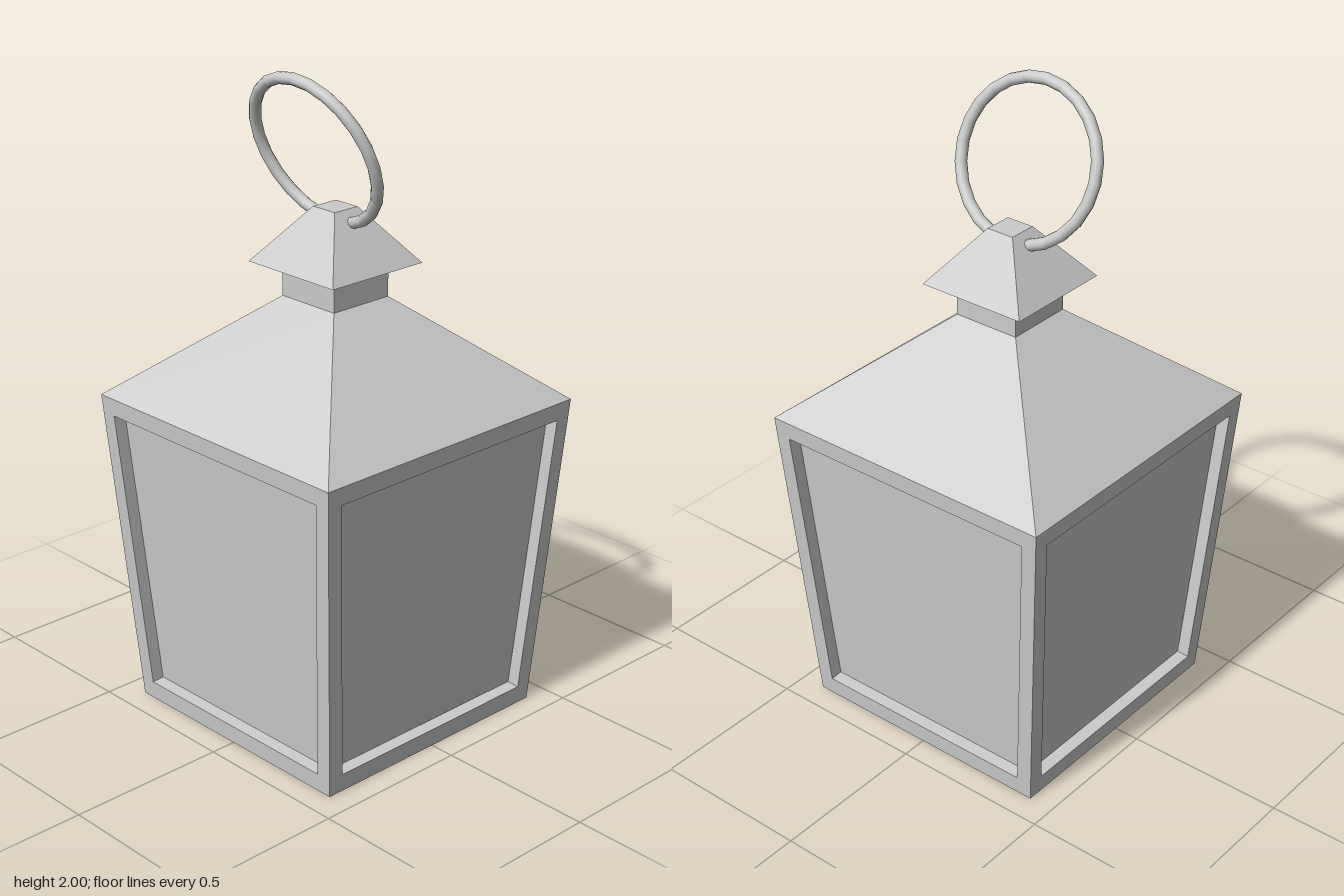
import * as THREE from 'three';

const flat = new THREE.MeshStandardMaterial({ color: 0xcccccc, flatShading: true });
const smooth = new THREE.MeshStandardMaterial({ color: 0xcccccc });

const BASE = 0.42, TOP = 0.49, HEIGHT = 1;   // half widths and height of the body
const DEPTH = 0.04;                          // how far the panes are set back

// Square tapered block, given by half widths and the heights of its ends
function frustum(name, bottom, top, y0, y1) {
  const g = new THREE.CylinderGeometry(top * Math.SQRT2, bottom * Math.SQRT2, y1 - y0, 4);
  g.rotateY(Math.PI / 4).translate(0, (y0 + y1) / 2, 0);
  const mesh = new THREE.Mesh(g, flat);
  mesh.name = name;
  return mesh;
}

// Four corners on the leaning front face, set back along its normal
function faceLoop(b, t, y0, y1, inset) {
  const slope = (TOP - BASE) / HEIGHT, tilt = Math.atan(slope);
  return [[-b, y0], [b, y0], [t, y1], [-t, y1]].map(([x, y]) =>
    [x, y + inset * Math.sin(tilt), BASE + slope * y - inset * Math.cos(tilt)]);
}

function quads(name, list) {
  const points = list.flatMap(([a, b, c, d]) => [a, b, c, a, c, d]).flat();
  const g = new THREE.BufferGeometry();
  g.setAttribute('position', new THREE.Float32BufferAttribute(points, 3));
  g.computeVertexNormals();
  const mesh = new THREE.Mesh(g, flat);
  mesh.name = name;
  return mesh;
}

// Quads joining one loop of corners to the next
const bridge = (a, b) => a.map((p, i) => [p, a[(i + 1) % 4], b[(i + 1) % 4], b[i]]);

export function createModel() {
  const lantern = new THREE.Group();
  lantern.name = 'lantern';

  // Four framed sides with recessed panes
  const outer = faceLoop(BASE, TOP, 0, HEIGHT, 0);
  const inner = faceLoop(0.373, 0.437, 0.057, 0.945, 0);
  const back = faceLoop(0.373, 0.437, 0.057, 0.945, DEPTH);
  ['front', 'left', 'back', 'right'].forEach((side, i) => {
    const wall = new THREE.Group();
    wall.name = side + 'Side';
    wall.add(quads('frame', [...bridge(outer, inner), ...bridge(inner, back)]));
    wall.add(quads('pane', [back]));
    wall.rotation.y = i * Math.PI / 2;
    lantern.add(wall);
  });

  // Floor
  const floor = new THREE.Mesh(new THREE.PlaneGeometry(BASE * 2, BASE * 2), flat);
  floor.rotation.x = Math.PI / 2;
  floor.name = 'floor';
  lantern.add(floor);

  // Roof, neck and cap
  lantern.add(frustum('roof', TOP, 0.108, HEIGHT, 1.315));
  lantern.add(frustum('neck', 0.108, 0.108, 1.315, 1.42));
  lantern.add(frustum('cap', 0.177, 0.045, 1.418, 1.585));

  // Carrying ring, leaning forward through the cap
  const ring = new THREE.Mesh(new THREE.TorusGeometry(0.236, 0.018, 10, 24), smooth);
  ring.position.set(0, 1.761, 0.078);
  ring.rotation.x = THREE.MathUtils.degToRad(20.5);
  ring.name = 'handleRing';
  lantern.add(ring);

  return lantern;
}
